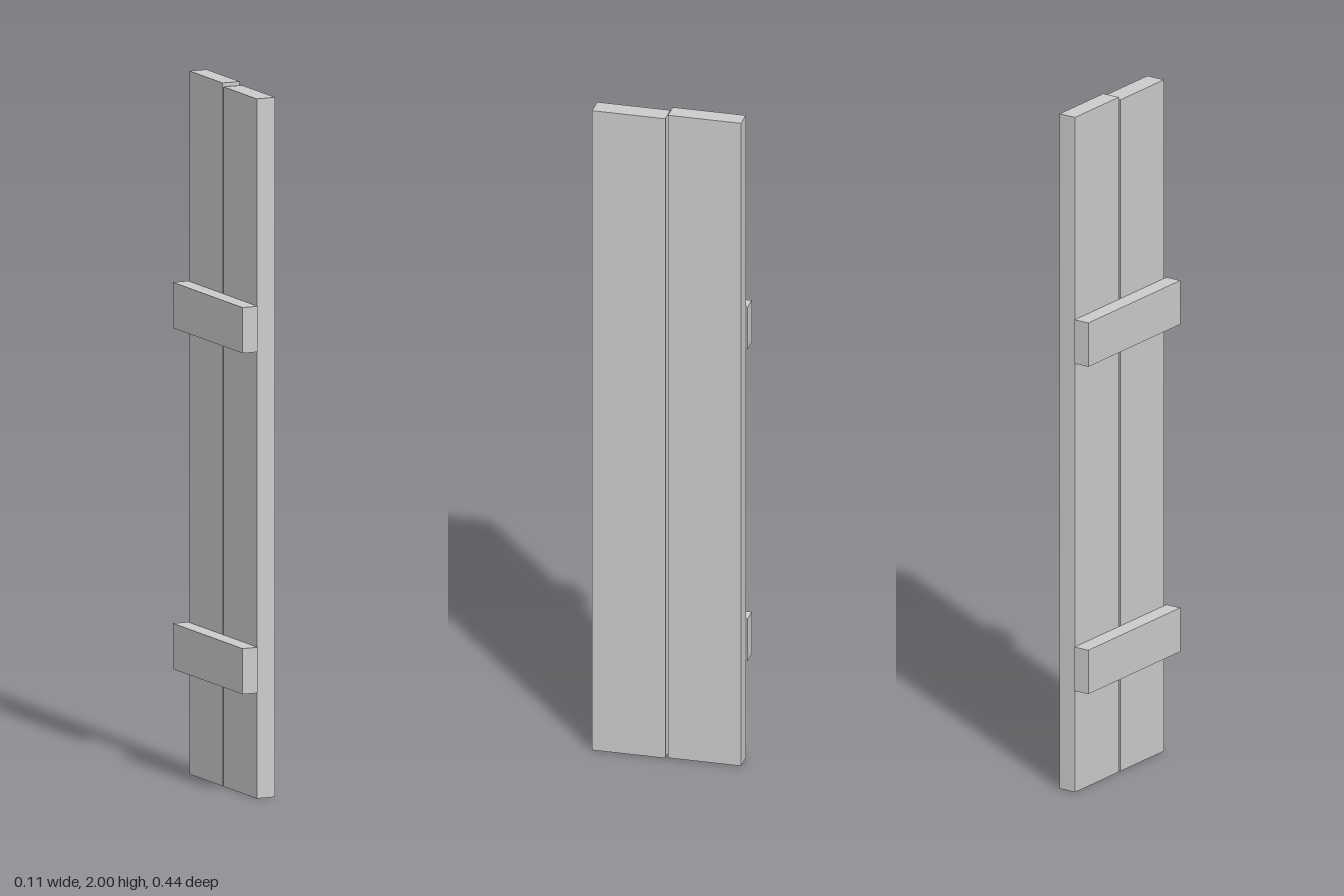
import * as THREE from 'three';

const material = new THREE.MeshStandardMaterial({ color: 0xcccccc, flatShading: true });

// Box given by its lower and upper corners
function board(name, [x0, y0, z0], [x1, y1, z1]) {
  const mesh = new THREE.Mesh(new THREE.BoxGeometry(x1 - x0, y1 - y0, z1 - z0), material);
  mesh.name = name;
  mesh.position.set((x0 + x1) / 2, (y0 + y1) / 2, (z0 + z1) / 2);
  return mesh;
}

export function createModel() {
  const group = new THREE.Group();
  group.name = 'plankPanel';

  // Two upright planks, slightly different in height and thickness
  group.add(board('frontPlank', [-0.004, 0, 0.001], [0.053, 1.99, 0.212]));
  group.add(board('backPlank', [-0.004, 0, -0.217], [0.049, 2, -0.006]));

  // Two cross battens on the right side
  for (const [name, y] of [['lowerBatten', 0.302], ['upperBatten', 1.272]]) {
    group.add(board(name, [-0.053, y, -0.222], [-0.006, y + 0.13, 0.222]));
  }
  return group;
}
